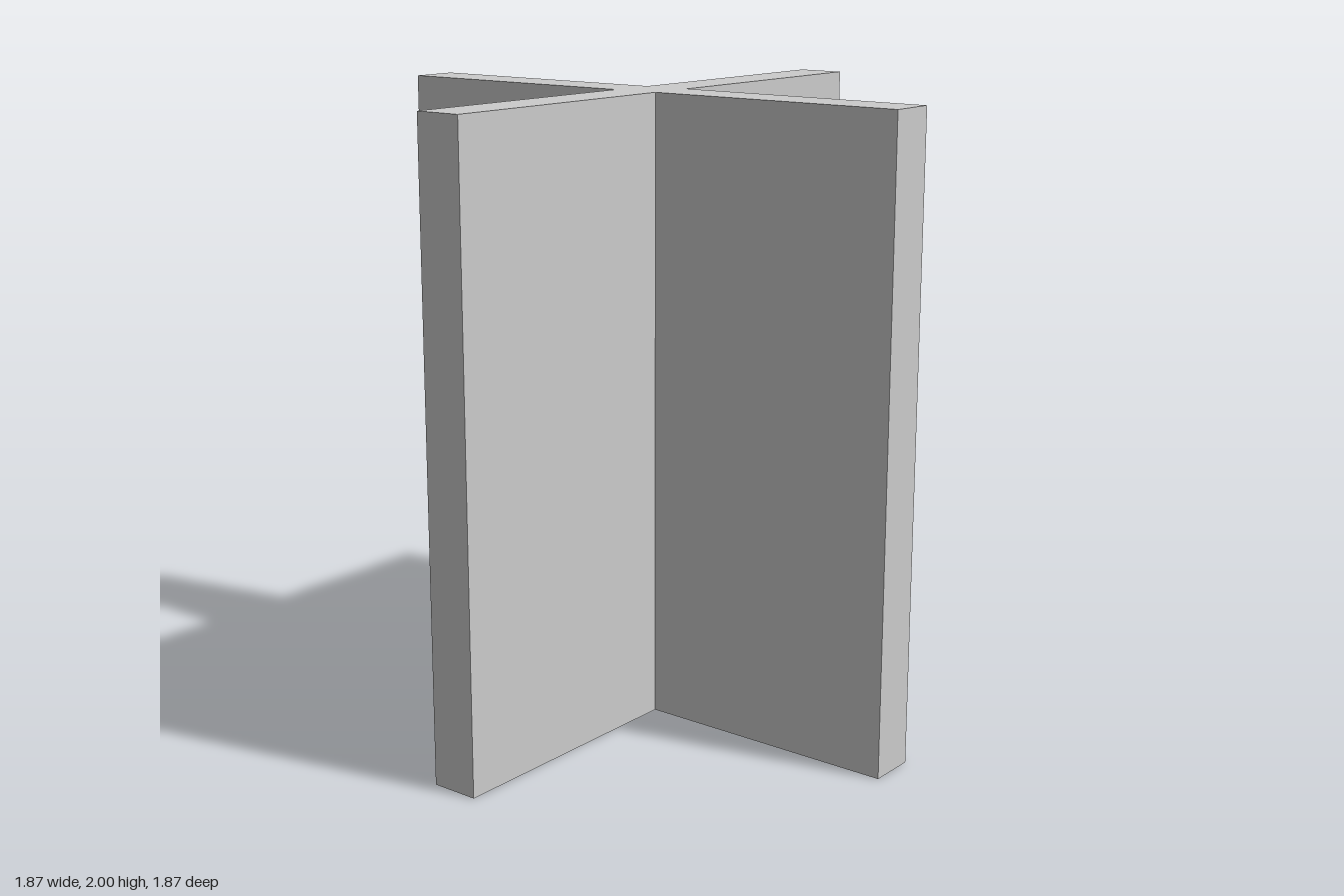
import * as THREE from 'three';

const HEIGHT = 2;
const REACH = 0.934; // centre to the end of each arm
const HALF = 0.0775; // half the wall thickness

export function createModel() {
  const group = new THREE.Group();
  group.name = 'crossColumn';

  // Plus-shaped outline: three corners per arm, turned a quarter each time
  const outline = [];
  for (let i = 0; i < 4; i++) {
    for (const [x, y] of [[REACH, -HALF], [REACH, HALF], [HALF, HALF]]) {
      outline.push(new THREE.Vector2(x, y).rotateAround(new THREE.Vector2(), i * Math.PI / 2));
    }
  }

  // Extruded upwards from the ground
  const geometry = new THREE.ExtrudeGeometry(new THREE.Shape(outline), { depth: HEIGHT, bevelEnabled: false });
  geometry.rotateX(-Math.PI / 2);

  const walls = new THREE.Mesh(geometry, new THREE.MeshStandardMaterial({ color: 0xcccccc, flatShading: true }));
  walls.name = 'crossWalls';
  group.add(walls);
  return group;
}
